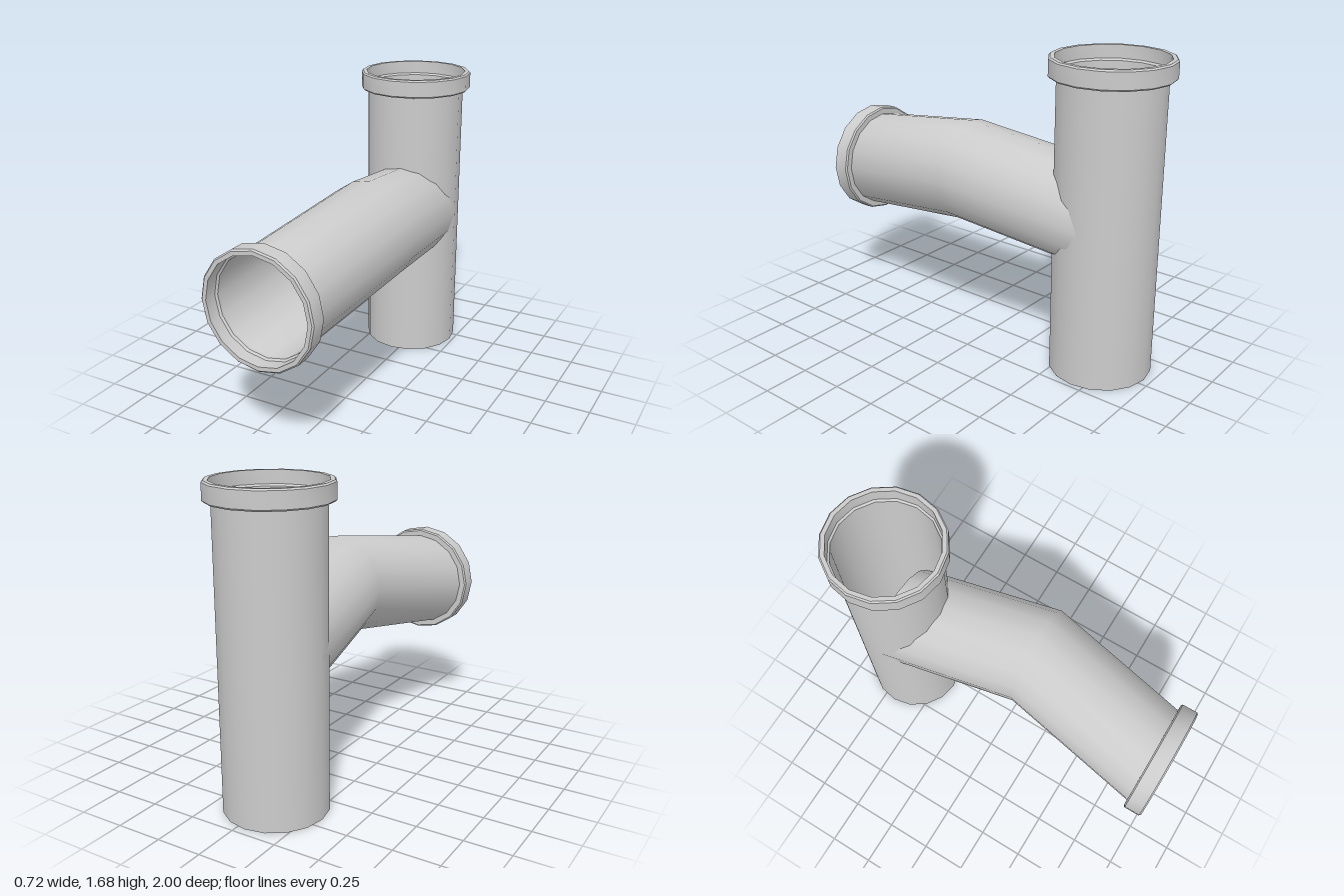
import * as THREE from 'three';
import { toCreasedNormals } from 'three/addons/utils/BufferGeometryUtils.js';

const SIDES = 16, R = 0.275, CX = -0.045, CY = 0.845, CZ = -0.685;
const BEND = { x: 0.08, y: 0.975, z: 0.11 };
const END_Z = 0.905, PIPE_TOP = 1.6;
const material = new THREE.MeshStandardMaterial({ color: 0xcccccc, side: THREE.DoubleSide });

// Centre of the branch at depth z: two straight runs meeting at the bend
function branchCentre(z) {
  const far = z < BEND.z ? CZ : END_Z;
  const t = (z - far) / (BEND.z - far);
  return { x: CX + (BEND.x - CX) * t, y: CY + (BEND.y - CY) * t };
}

// Upright wall made of narrow columns, leaving an opening where the branch enters
function pipeWall() {
  const sub = 8, pos = [], nor = [], idx = [];
  const corner = (i) => {
    const a = (i / SIDES) * Math.PI * 2;
    return new THREE.Vector2(Math.sin(a) * R, Math.cos(a) * R);
  };
  for (let i = 0; i <= SIDES * sub; i++) {
    const side = Math.floor(i / sub);
    const p = corner(side).lerp(corner(side + 1), (i % sub) / sub);
    const n = p.clone().normalize();
    const x = p.x + CX, z = p.y + CZ, c = branchCentre(z);
    const gap = p.y > 0 ? Math.sqrt(Math.max(0, (R * 0.975) ** 2 - (x - c.x) ** 2)) : 0;
    for (const y of [0, c.y - gap, c.y + gap, PIPE_TOP]) {
      pos.push(x, y, z);
      nor.push(n.x, 0, n.y);
    }
    if (i === 0) continue;
    for (const row of [0, 2]) {
      const a = (i - 1) * 4 + row, b = i * 4 + row;
      idx.push(a, b, b + 1, a, b + 1, a + 1);
    }
  }
  const g = new THREE.BufferGeometry();
  g.setAttribute('position', new THREE.Float32BufferAttribute(pos, 3));
  g.setAttribute('normal', new THREE.Float32BufferAttribute(nor, 3));
  g.setIndex(idx);
  return g;
}

// Bent branch: an open cylinder whose three rings are slid onto the centre line
function branchPipe() {
  const g = new THREE.CylinderGeometry(R, R, 2, SIDES, 2, true).rotateX(Math.PI / 2);
  const p = g.attributes.position;
  for (let i = 0; i < p.count; i++) {
    const s = Math.round(p.getZ(i));
    const z = s < 0 ? CZ : s > 0 ? END_Z : BEND.z;
    const c = branchCentre(z);
    p.setXYZ(i, p.getX(i) + c.x, p.getY(i) + c.y, z);
  }
  return toCreasedNormals(g, 0.6);
}

// Socket collar with bevelled rim and an inner step
function collarGeometry() {
  const profile = [
    [R, 0], [0.307, 0], [0.315, 0.008], [0.315, 0.092], [0.307, 0.1],
    [0.285, 0.1], [0.285, 0.03], [R, 0.02], [R, 0],
  ].map(([r, y]) => new THREE.Vector2(r, y));
  return toCreasedNormals(new THREE.LatheGeometry(profile, SIDES), 0.5);
}

export function createModel() {
  const model = new THREE.Group();
  model.name = 'pipeFitting';
  const add = (name, geometry) => {
    const mesh = new THREE.Mesh(geometry, material);
    mesh.name = name;
    model.add(mesh);
    return mesh;
  };
  add('mainPipe', pipeWall());
  add('branchPipe', branchPipe());

  const collar = collarGeometry();
  add('topCollar', collar).position.set(CX, 1.58, CZ);
  const front = add('branchCollar', collar);
  front.rotation.x = Math.PI / 2;
  front.position.set(CX, CY, 0.9);
  return model;
}
